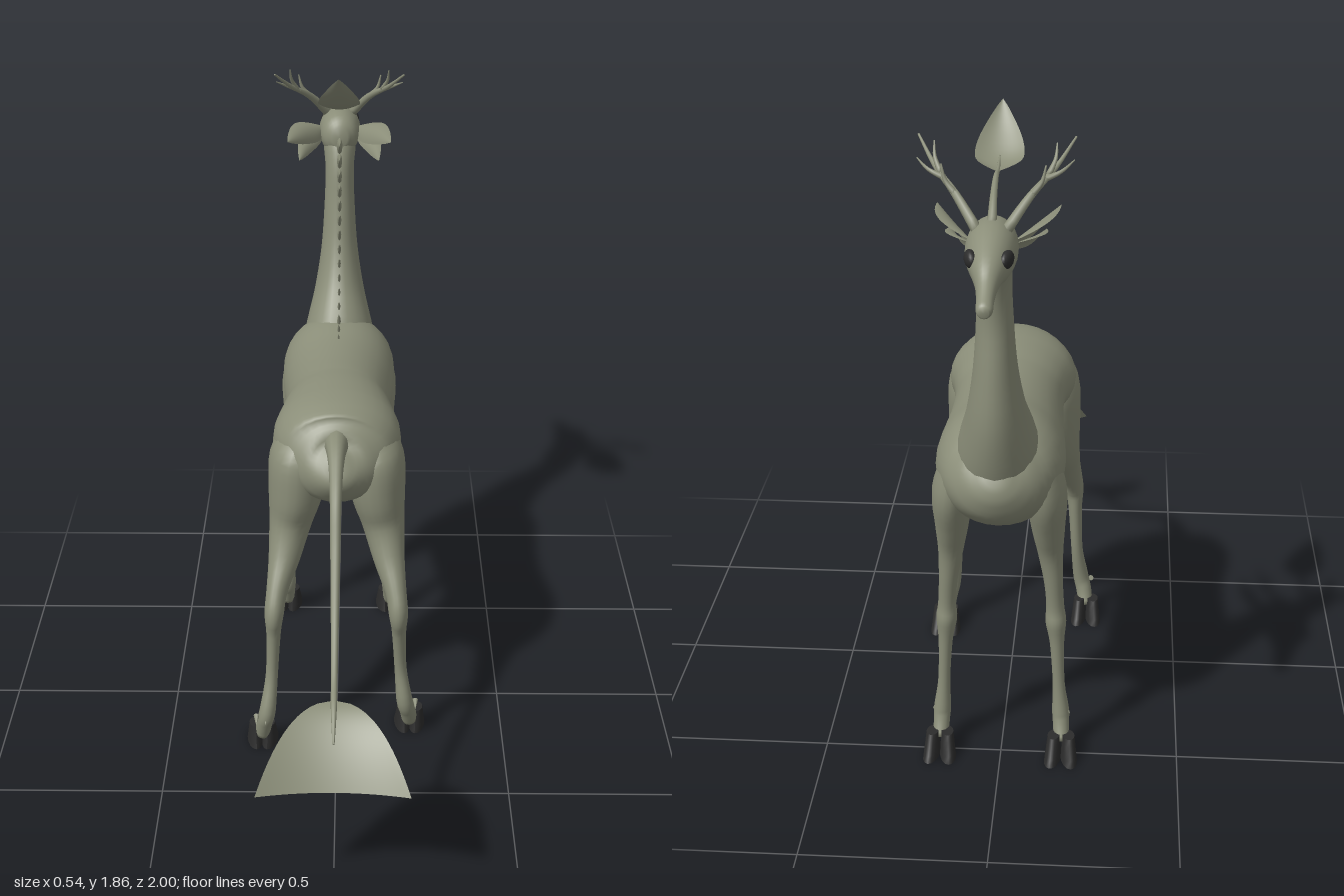
import * as THREE from 'three';

const V = (x, y, z) => new THREE.Vector3(x, y, z);

export function createModel() {
  const model = new THREE.Group();
  const hide = new THREE.MeshStandardMaterial({ color: 0x8b8e79, side: THREE.DoubleSide });
  hide.name = 'mossy hide';
  const dark = new THREE.MeshStandardMaterial({ color: 0x2c2c2c });
  dark.name = 'dark horn';

  const add = (name, geometry, material = hide, parent = model) => {
    const mesh = new THREE.Mesh(geometry, material);
    mesh.name = name;
    parent.add(mesh);
    return mesh;
  };

  // Smooth skin over elliptical rings; each row is x, y, z, side radius, other radius
  const loft = (rows, sides = 20, perRow = 4) => {
    const path = new THREE.CatmullRomCurve3(rows.map(r => V(r[0], r[1], r[2])), false, 'catmullrom');
    const radii = new THREE.CatmullRomCurve3(rows.map(r => V(r[3], r[4] ?? r[3], 0)), false, 'catmullrom');
    const n = (rows.length - 1) * perRow, pos = [], idx = [];
    for (let i = 0; i <= n; i++) {
      const p = path.getPoint(i / n), r = radii.getPoint(i / n), t = path.getTangent(i / n);
      const side = V(1, 0, 0).addScaledVector(t, -t.x).normalize();
      const up = t.clone().cross(side);
      for (let j = 0; j < sides; j++) {
        const a = j / sides * Math.PI * 2;
        const q = p.clone().addScaledVector(side, Math.cos(a) * r.x).addScaledVector(up, Math.sin(a) * r.y);
        pos.push(q.x, q.y, q.z);
        const k = (j + 1) % sides, A = i * sides;
        if (i < n) idx.push(A + j, A + k, A + sides + k, A + j, A + sides + k, A + sides + j);
      }
    }
    const first = rows[0], last = rows[rows.length - 1], c = (n + 1) * sides;
    pos.push(first[0], first[1], first[2], last[0], last[1], last[2]);
    for (let j = 0; j < sides; j++) {
      const k = (j + 1) % sides;
      idx.push(c, k, j, c + 1, n * sides + j, n * sides + k);
    }
    const g = new THREE.BufferGeometry();
    g.setAttribute('position', new THREE.Float32BufferAttribute(pos, 3));
    g.setIndex(idx);
    g.computeVertexNormals();
    return g;
  };

  // Plane bent by a rule of u (-1..1 across) and v (0..1 along)
  const sheet = (rule, across = 12, along = 14) => {
    const g = new THREE.PlaneGeometry(2, 1, across, along), p = g.attributes.position;
    for (let i = 0; i < p.count; i++) {
      const q = rule(p.getX(i), p.getY(i) + 0.5);
      p.setXYZ(i, q.x, q.y, q.z);
    }
    g.computeVertexNormals();
    return g;
  };

  // Pointed leaf along a curve, cupped across its width
  const leaf = (pts, side, width, cup) => {
    const path = new THREE.CatmullRomCurve3(pts);
    const s = side.clone().normalize();
    return sheet((u, v) => {
      const w = width * Math.pow(Math.sin(Math.PI * Math.pow(v, 0.8)), 0.9) || 0;
      const up = s.clone().cross(path.getTangent(v)).normalize();
      return path.getPoint(v).addScaledVector(s, u * w).addScaledVector(up, cup * w * u * u);
    });
  };

  // Trunk, neck and head
  add('body', loft([
    [0, 0.94, 0.25, 0.02, 0.03], [0, 0.925, 0.225, 0.09, 0.09], [0, 0.915, 0.17, 0.15, 0.13],
    [0, 0.925, 0.1, 0.18, 0.14], [0, 0.935, 0.03, 0.182, 0.137], [0, 0.94, -0.05, 0.165, 0.13],
    [0, 0.925, -0.13, 0.155, 0.14], [0, 0.907, -0.25, 0.16, 0.153], [0, 0.9, -0.37, 0.17, 0.162],
    [0, 0.91, -0.5, 0.172, 0.165], [0, 0.925, -0.6, 0.145, 0.13], [0, 0.95, -0.66, 0.095, 0.09],
    [0, 0.97, -0.69, 0.03, 0.03]], 32));
  add('neck', loft([
    [0, 0.9, -0.51, 0.12, 0.13], [0, 1.0, -0.565, 0.108, 0.138], [0, 1.12, -0.62, 0.078, 0.115],
    [0, 1.25, -0.648, 0.057, 0.085], [0, 1.39, -0.66, 0.047, 0.062], [0, 1.5, -0.677, 0.044, 0.06],
    [0, 1.57, -0.705, 0.05, 0.06], [0, 1.61, -0.73, 0.045, 0.045]], 24));
  add('head', loft([
    [0, 1.605, -0.645, 0.025, 0.03], [0, 1.602, -0.68, 0.055, 0.062], [0, 1.6, -0.75, 0.064, 0.073],
    [0, 1.594, -0.81, 0.057, 0.066], [0, 1.585, -0.87, 0.042, 0.047], [0, 1.565, -0.915, 0.027, 0.031],
    [0, 1.548, -0.955, 0.021, 0.023], [0, 1.535, -0.985, 0.02, 0.02], [0, 1.533, -1.0, 0.012, 0.012]], 24));

  // Tail with a broad curved fan at its end
  add('tail', loft([
    [0, 0.97, 0.17, 0.04, 0.05], [0, 0.975, 0.24, 0.028, 0.035], [0, 0.95, 0.31, 0.02, 0.022],
    [0, 0.89, 0.395, 0.016, 0.018], [0, 0.79, 0.47, 0.014, 0.015], [0, 0.65, 0.59, 0.011, 0.012],
    [0, 0.55, 0.715, 0.009, 0.01], [0, 0.515, 0.81, 0.008, 0.008], [0, 0.46, 0.89, 0.003, 0.003]], 12));
  add('tailFan', sheet((u, v) => V(
    u * 0.2 * Math.pow(v, 0.55),
    0.52 - 0.16 * Math.pow(v, 1.7) + 0.015 * u * u * v,
    0.78 + 0.18 * v + 0.04 * u * u * v), 20, 16));

  // Cloven hoof, each toe a wedge leaning forward
  const toe = new THREE.CylinderGeometry(0.017, 0.023, 0.07, 14, 4);
  const tp = toe.attributes.position;
  for (let i = 0; i < tp.count; i++) {
    const d = 0.5 - tp.getY(i) / 0.07;
    tp.setZ(i, tp.getZ(i) * (1.5 + d * 0.9) - 0.012 * d);
    tp.setY(i, tp.getY(i) + 0.035);
  }
  toe.computeVertexNormals();
  const addHoof = (name, x, z) => {
    const hoof = new THREE.Group();
    hoof.name = name;
    hoof.position.set(x, 0, z);
    for (const s of [-1, 1]) {
      const t = add('toe', toe, dark, hoof);
      t.position.set(s * 0.021, 0.003, 0);
      t.rotation.y = -s * 0.14;
      // Small claw behind the ankle
      const claw = add('dewclaw', new THREE.ConeGeometry(0.009, 0.035, 8), hide, hoof);
      claw.position.set(s * 0.014, 0.118, 0.055);
      claw.rotation.x = 1.9;
    }
    model.add(hoof);
  };

  const foreLeg = [
    [0.11, 0.95, -0.535, 0.04, 0.085], [0.125, 0.85, -0.525, 0.055, 0.095], [0.13, 0.74, -0.505, 0.046, 0.068],
    [0.136, 0.65, -0.49, 0.035, 0.043], [0.145, 0.55, -0.485, 0.026, 0.03], [0.15, 0.47, -0.475, 0.025, 0.03],
    [0.152, 0.42, -0.472, 0.029, 0.037], [0.156, 0.35, -0.475, 0.02, 0.024], [0.162, 0.22, -0.473, 0.017, 0.019],
    [0.168, 0.13, -0.468, 0.024, 0.03], [0.17, 0.09, -0.48, 0.023, 0.026], [0.172, 0.045, -0.5, 0.022, 0.026]];
  const hindLeg = [
    [0.095, 0.97, 0.1, 0.055, 0.08], [0.11, 0.9, 0.1, 0.082, 0.118], [0.118, 0.79, 0.108, 0.08, 0.113],
    [0.135, 0.69, 0.125, 0.062, 0.085], [0.152, 0.6, 0.178, 0.046, 0.056], [0.172, 0.52, 0.235, 0.031, 0.045],
    [0.18, 0.46, 0.265, 0.028, 0.042], [0.183, 0.39, 0.262, 0.021, 0.03], [0.19, 0.25, 0.265, 0.018, 0.022],
    [0.203, 0.14, 0.288, 0.024, 0.03], [0.214, 0.09, 0.28, 0.024, 0.027], [0.22, 0.045, 0.265, 0.023, 0.026]];

  for (const s of [-1, 1]) {
    const label = s > 0 ? 'left' : 'right';
    // The +x hind foot steps further forward
    const step = y => (s > 0 ? -0.085 * Math.max(0, 1 - y / 0.48) : 0);
    add(label + 'ForeLeg', loft(foreLeg.map(([x, ...r]) => [s * x, ...r]), 20));
    add(label + 'HindLeg', loft(hindLeg.map(([x, y, z, ...r]) => [s * x, y, z + step(y), ...r]), 20));
    addHoof(label + 'ForeHoof', s * 0.172, -0.515);
    addHoof(label + 'HindHoof', s * 0.222, 0.255 + step(0));

    // Eyes
    const eye = add(label + 'Eye', new THREE.SphereGeometry(0.026, 16, 12), dark);
    eye.scale.set(0.55, 0.85, 1.15);
    eye.position.set(s * 0.043, 1.61, -0.848);
    eye.rotation.y = s * 0.3;

    // Leaf-like ears with a smaller lower lobe
    add(label + 'Ear', leaf([V(s * 0.05, 1.615, -0.73), V(s * 0.1, 1.63, -0.64), V(s * 0.155, 1.635, -0.5)],
      V(s * 0.6, 0.6, -0.2), 0.042, s * 0.4));
    add(label + 'EarLobe', leaf([V(s * 0.05, 1.605, -0.72), V(s * 0.095, 1.595, -0.63), V(s * 0.12, 1.575, -0.51)],
      V(s * 0.6, 0.5, -0.2), 0.028, s * 0.4));

    // Branching antlers
    const horn = (name, pts, r) => add(label + name,
      loft(pts.map(([x, y, z], i) => [s * x, y, z, r * (1 - 0.8 * i / (pts.length - 1))]), 8));
    horn('Antler', [[0.035, 1.65, -0.755], [0.09, 1.72, -0.7], [0.145, 1.768, -0.63], [0.192, 1.825, -0.555]], 0.014);
    horn('AntlerForwardTine', [[0.09, 1.72, -0.7], [0.115, 1.75, -0.69], [0.125, 1.79, -0.685]], 0.009);
    horn('AntlerMiddleTine', [[0.13, 1.757, -0.65], [0.145, 1.79, -0.63], [0.148, 1.825, -0.61]], 0.008);
    horn('AntlerOuterTine', [[0.12, 1.748, -0.66], [0.16, 1.765, -0.65], [0.19, 1.785, -0.62]], 0.008);
  }

  // Crown stem carrying a single leaf
  add('crownStem', loft([[0, 1.66, -0.75, 0.012], [0, 1.71, -0.69, 0.009], [0, 1.737, -0.61, 0.007],
    [0, 1.733, -0.54, 0.005], [0, 1.75, -0.47, 0.002]], 8));
  add('crownLeaf', leaf([V(0, 1.735, -0.56), V(0, 1.738, -0.49), V(0, 1.79, -0.42), V(0, 1.865, -0.355)],
    V(1, 0, 0), 0.062, -0.25));

  // Mane of thorns down the nape to the withers
  const nape = new THREE.CatmullRomCurve3([V(0, 1.58, -0.64), V(0, 1.5, -0.622), V(0, 1.39, -0.605),
    V(0, 1.25, -0.57), V(0, 1.15, -0.52), V(0, 1.085, -0.45), V(0, 1.055, -0.36)]);
  const thorns = 15;
  for (let i = 0; i < thorns; i++) {
    const t = i / (thorns - 1), size = 0.085 - 0.045 * t;
    const thorn = add('maneThorn', new THREE.ConeGeometry(size * 0.38, size, 8), hide);
    const dir = V(0, 0.25 + 0.5 * t, 0.9 - 0.35 * t).normalize();
    thorn.geometry.scale(0.35, 1, 1);
    thorn.rotation.x = Math.atan2(dir.z, dir.y);
    thorn.position.copy(nape.getPointAt(t)).addScaledVector(dir, size * 0.3);
  }
  return model;
}
